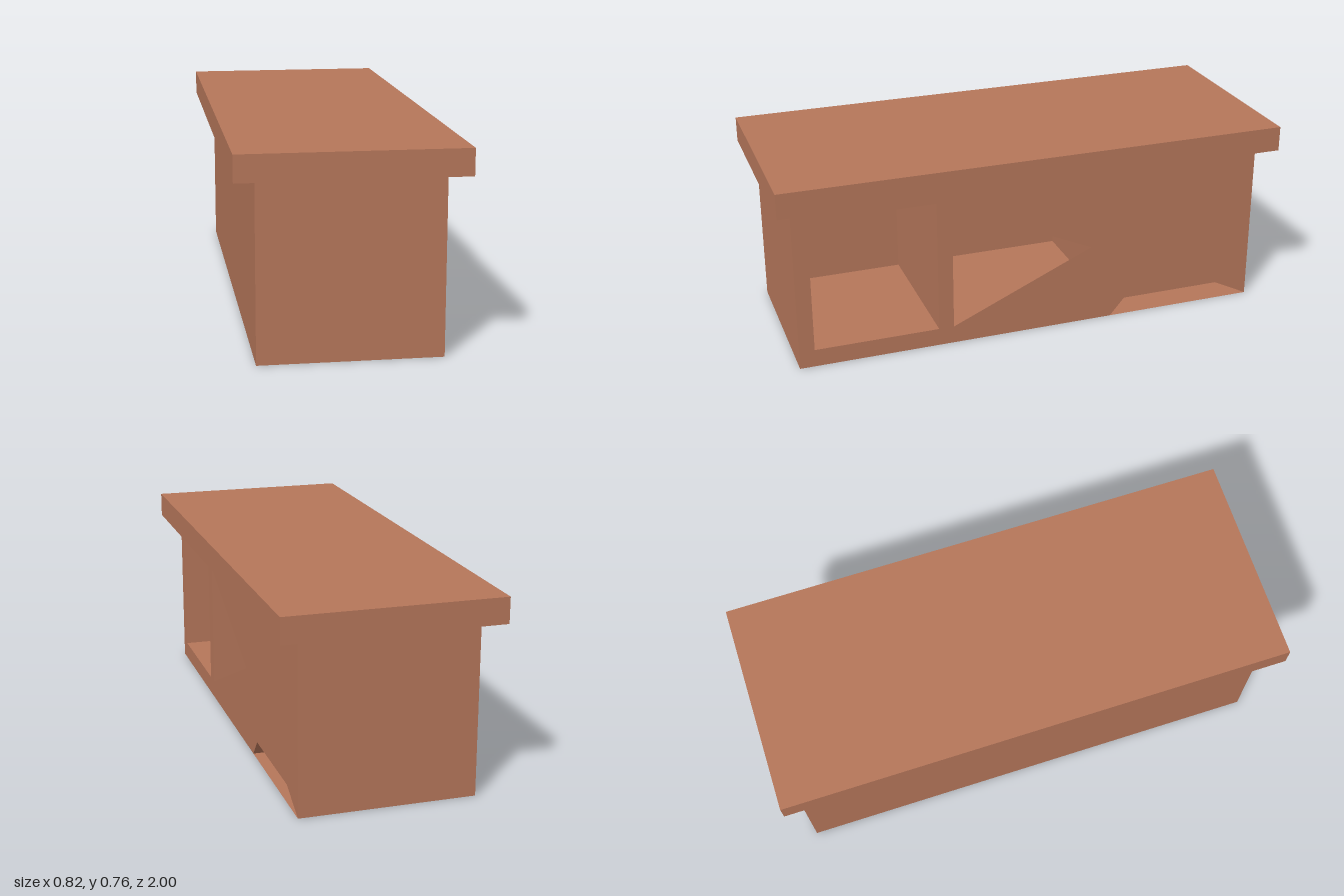
import * as THREE from 'three';

const W = 0.333;      // half width of the body
const L = 0.94;       // half length of the body
const H = 0.66;       // height of the body
const INNER = -0.26;  // x of the far wall inside the compartments

// Profiles are drawn as [z, y]; the shape's x axis runs toward the back (-z)
const toVectors = (pts) => pts.map(([z, y]) => new THREE.Vector2(-z, y));

export function createModel() {
  const model = new THREE.Group();
  const clay = new THREE.MeshStandardMaterial({ color: 0xb5765a, side: THREE.DoubleSide });
  clay.name = 'terracotta';

  const add = (name, geometry) => {
    const mesh = new THREE.Mesh(geometry, clay);
    mesh.name = name;
    model.add(mesh);
    return mesh;
  };

  // Overhanging top slab
  add('topSlab', new THREE.BoxGeometry(0.82, 0.098, 2)).position.y = 0.708;

  // Body shell without its +x side (the first six indices of a box)
  const shell = new THREE.BoxGeometry(W * 2, H, L * 2);
  shell.setIndex(Array.from(shell.index.array).slice(6));
  shell.clearGroups();
  add('bodyShell', shell).position.y = H / 2;

  // Openings
  const squareOpening = [[0.88, 0.07], [0.39, 0.07], [0.39, 0.6], [0.88, 0.6]];
  const triangleOpening = [[0.33, 0.07], [-0.24, 0.32], [0.33, 0.575]];
  const notch = [[-L, 0], [-0.8, 0.07], [-0.39, 0.07], [-0.33, 0]];

  // Thin side panel with the openings cut out
  const outline = [[L, 0], ...[...notch].reverse(), [-L, H], [L, H]];
  const panelShape = new THREE.Shape(toVectors(outline));
  for (const hole of [squareOpening, triangleOpening]) {
    panelShape.holes.push(new THREE.Path(toVectors(hole)));
  }
  add('sidePanel', new THREE.ShapeGeometry(panelShape).rotateY(Math.PI / 2)).position.x = W;

  // Compartment: inward-facing walls along the profile plus a far wall
  function addCompartment(name, profile, closed) {
    const positions = [];
    const count = closed ? profile.length : profile.length - 1;
    for (let i = 0; i < count; i++) {
      const [az, ay] = profile[i];
      const [bz, by] = profile[(i + 1) % profile.length];
      positions.push(W, ay, az, W, by, bz, INNER, by, bz);
      positions.push(W, ay, az, INNER, by, bz, INNER, ay, az);
    }
    const walls = new THREE.BufferGeometry();
    walls.setAttribute('position', new THREE.Float32BufferAttribute(positions, 3));
    walls.computeVertexNormals();
    add(name + 'Walls', walls);

    const back = new THREE.ShapeGeometry(new THREE.Shape(toVectors(profile)));
    add(name + 'FarWall', back.rotateY(Math.PI / 2)).position.x = INNER;
  }

  addCompartment('frontCompartment', squareOpening, true);
  addCompartment('middleCompartment', [[0.33, 0.07], [-0.31, 0.07], [-0.31, 0.6], [0.33, 0.6]], true);
  addCompartment('lowerNotch', notch, false);

  return model;
}
